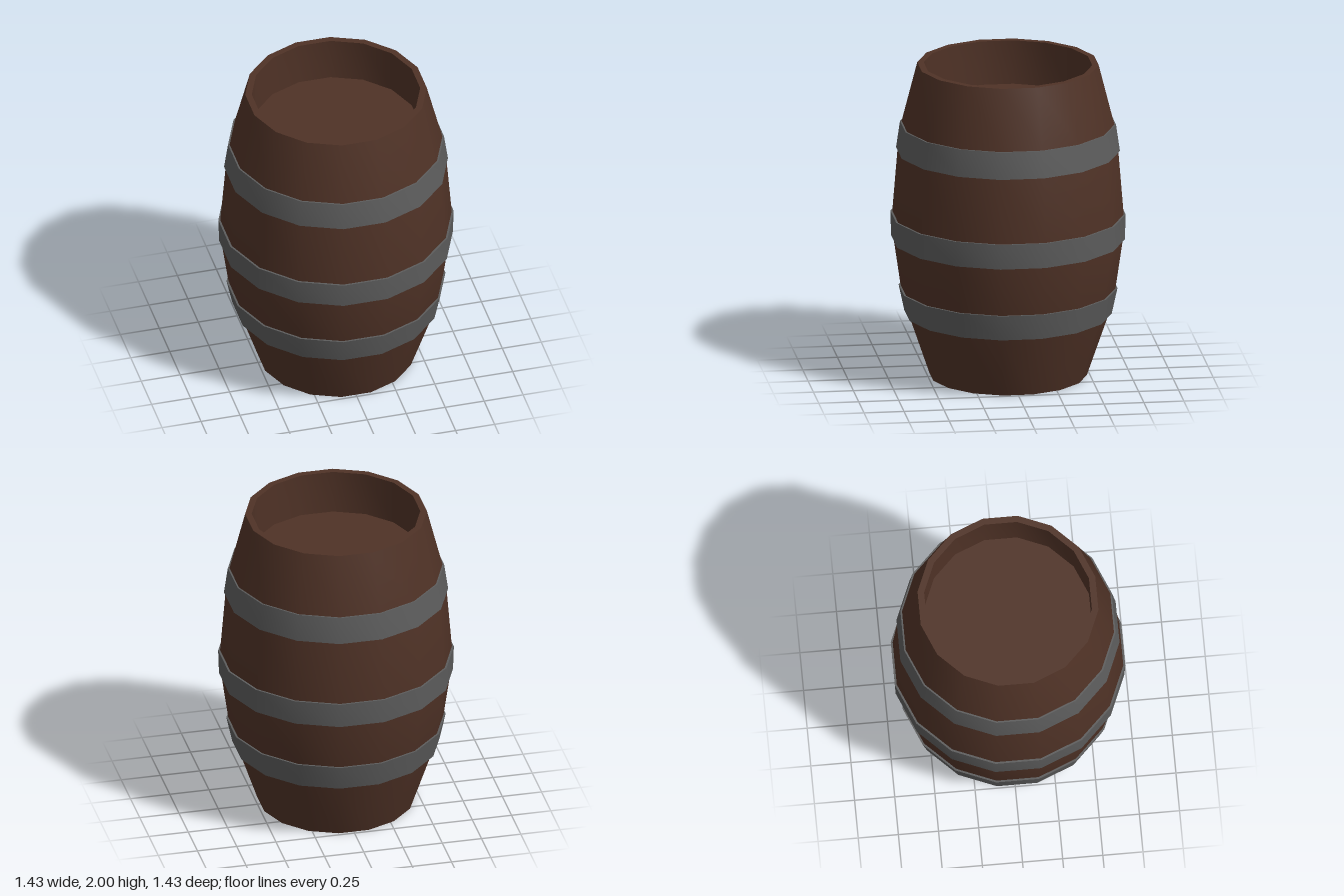
import * as THREE from 'three';
import { toCreasedNormals } from 'three/addons/utils/BufferGeometryUtils.js';

const SIDES = 16;
const TO_CORNER = 1 / Math.cos(Math.PI / SIDES); // flat-to-centre distance -> corner radius

// Sixteen-sided turned part; profile pairs are [distance to flat side, height]
function turned(name, profile, material) {
  const points = profile.map(([r, y]) => new THREE.Vector2(r * TO_CORNER, y));
  const lathe = new THREE.LatheGeometry(points, SIDES, Math.PI / SIDES);
  const mesh = new THREE.Mesh(toCreasedNormals(lathe, 0.6), material);
  mesh.name = name;
  return mesh;
}

export function createModel() {
  const group = new THREE.Group();
  group.name = 'barrel';
  const wood = new THREE.MeshStandardMaterial({ color: 0x4f3226 });
  const iron = new THREE.MeshStandardMaterial({ color: 0x5c5c5c });

  // Wooden body: base, bulging staves, rim, then the recessed lid
  group.add(turned('body', [
    [0, 0], [0.48, 0],
    [0.615, 0.4], [0.655, 0.565], [0.7, 0.88], [0.705, 1.04],
    [0.672, 1.45], [0.648, 1.62], [0.553, 2],
    [0.513, 2], [0.513, 1.72], [0, 1.72],
  ], wood));

  // Iron hoops: [name, bottom y, outer r, inner r, top y, outer r, inner r]
  const hoops = [
    ['lowerHoop', 0.4, 0.632, 0.6, 0.565, 0.667, 0.64],
    ['middleHoop', 0.88, 0.712, 0.685, 1.04, 0.717, 0.69],
    ['upperHoop', 1.45, 0.682, 0.655, 1.62, 0.658, 0.63],
  ];
  for (const [name, y0, out0, in0, y1, out1, in1] of hoops) {
    group.add(turned(name, [[in0, y0], [out0, y0], [out1, y1], [in1, y1]], iron));
  }
  return group;
}
